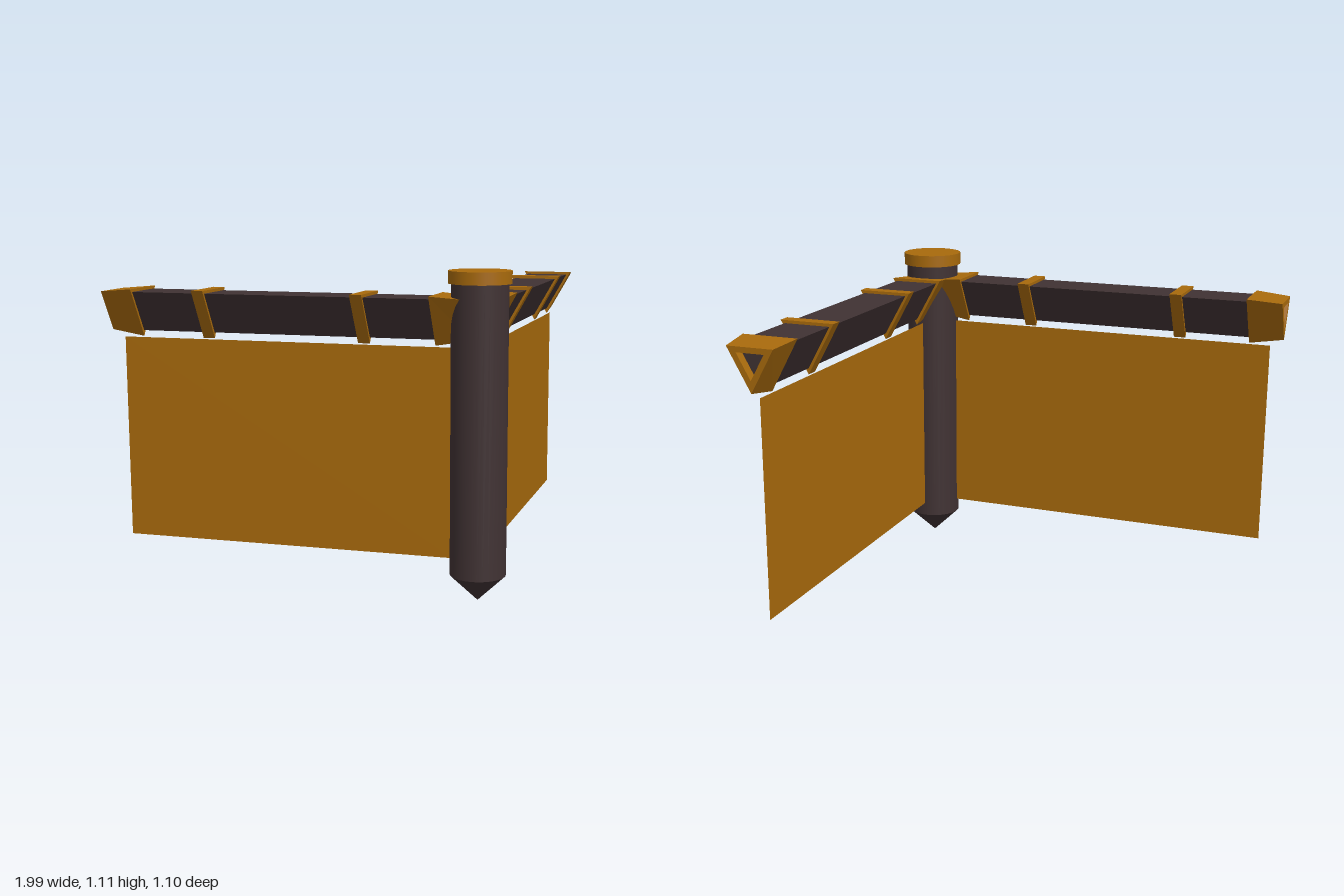
import * as THREE from 'three';

const wood = new THREE.MeshStandardMaterial({ color: 0x403233 });
const gold = new THREE.MeshStandardMaterial({ color: 0xa86a0c });
const goldSheet = new THREE.MeshStandardMaterial({ color: 0xa86a0c, side: THREE.DoubleSide });

// Flat-faced loft along x through triangles (point down): [x, half width, top, bottom]
function loft(name, rings, material) {
  const loops = rings.map(([x, w, top, bottom]) => [[x, top, -w], [x, top, w], [x, bottom, 0]]);
  const pos = [];
  for (let i = 0; i < loops.length - 1; i++) {
    for (let j = 0; j < 3; j++) {
      const k = (j + 1) % 3;
      const a = loops[i][j], b = loops[i][k], c = loops[i + 1][k], d = loops[i + 1][j];
      pos.push(...a, ...b, ...c, ...a, ...c, ...d);
    }
  }
  const geo = new THREE.BufferGeometry();
  geo.setAttribute('position', new THREE.Float32BufferAttribute(pos, 3));
  geo.computeVertexNormals();
  const mesh = new THREE.Mesh(geo, material);
  mesh.name = name;
  return mesh;
}

const HALF = 0.65;                       // half length of a rail
const tri = { rail: [0.079, 1.02, 0.88], band: [0.094, 1.03, 0.86], hole: [0.047, 1.002, 0.919], point: [0, 0.974, 0.974] };
const at = (x, kind) => [x, ...tri[kind]];

// One wing: rail, two bands, two end sleeves and the hanging panel, centred on its rail
function createWing(name) {
  const wing = new THREE.Group();
  wing.name = name;
  const end = HALF - 0.03;
  wing.add(loft('rail', [at(-end, 'point'), at(-end, 'rail'), at(end, 'rail'), at(end, 'point')], wood));

  for (const x of [-0.282, 0.282]) {
    const a = x - 0.021, b = x + 0.021;
    wing.add(loft('railBand', [at(a, 'rail'), at(a, 'band'), at(b, 'band'), at(b, 'rail')], gold));
  }

  // Tapered sleeves with a triangular opening
  for (const angle of [0, Math.PI]) {
    const sleeve = loft('endSleeve', [
      at(HALF - 0.12, 'rail'), at(HALF - 0.12, 'band'), at(HALF, 'rail'), at(HALF, 'hole'), at(end, 'hole'),
    ], gold);
    sleeve.rotation.y = angle;
    wing.add(sleeve);
  }

  const panel = new THREE.Mesh(new THREE.PlaneGeometry(1.195, 0.717), goldSheet);
  panel.name = 'panel';
  panel.position.set(0.006, 0.497, 0);
  wing.add(panel);
  return wing;
}

export function createModel() {
  const model = new THREE.Group();
  model.name = 'cornerFence';
  const corner = new THREE.Group();
  corner.name = 'corner';
  corner.position.z = 0.442;
  model.add(corner);

  // Corner post with a pointed foot
  const shaft = new THREE.Mesh(new THREE.CylinderGeometry(0.095, 0.095, 0.99, 32), wood);
  shaft.name = 'post';
  shaft.position.y = 0.585;
  const foot = new THREE.Mesh(new THREE.CylinderGeometry(0.095, 0, 0.09, 32, 1, true), wood);
  foot.name = 'postPoint';
  foot.position.y = 0.045;
  const cap = new THREE.Mesh(new THREE.CylinderGeometry(0.105, 0.105, 0.042, 32), gold);
  cap.name = 'postCap';
  cap.position.y = 1.09;
  corner.add(shaft, foot, cap);

  // Two wings at right angles, running back from the post
  for (const [name, angle] of [['leftWing', Math.PI / 4], ['rightWing', 3 * Math.PI / 4]]) {
    const arm = new THREE.Group();
    arm.name = name + 'Arm';
    arm.rotation.y = angle;
    const wing = createWing(name);
    wing.position.x = 0.03 + HALF;
    arm.add(wing);
    corner.add(arm);
  }
  return model;
}
